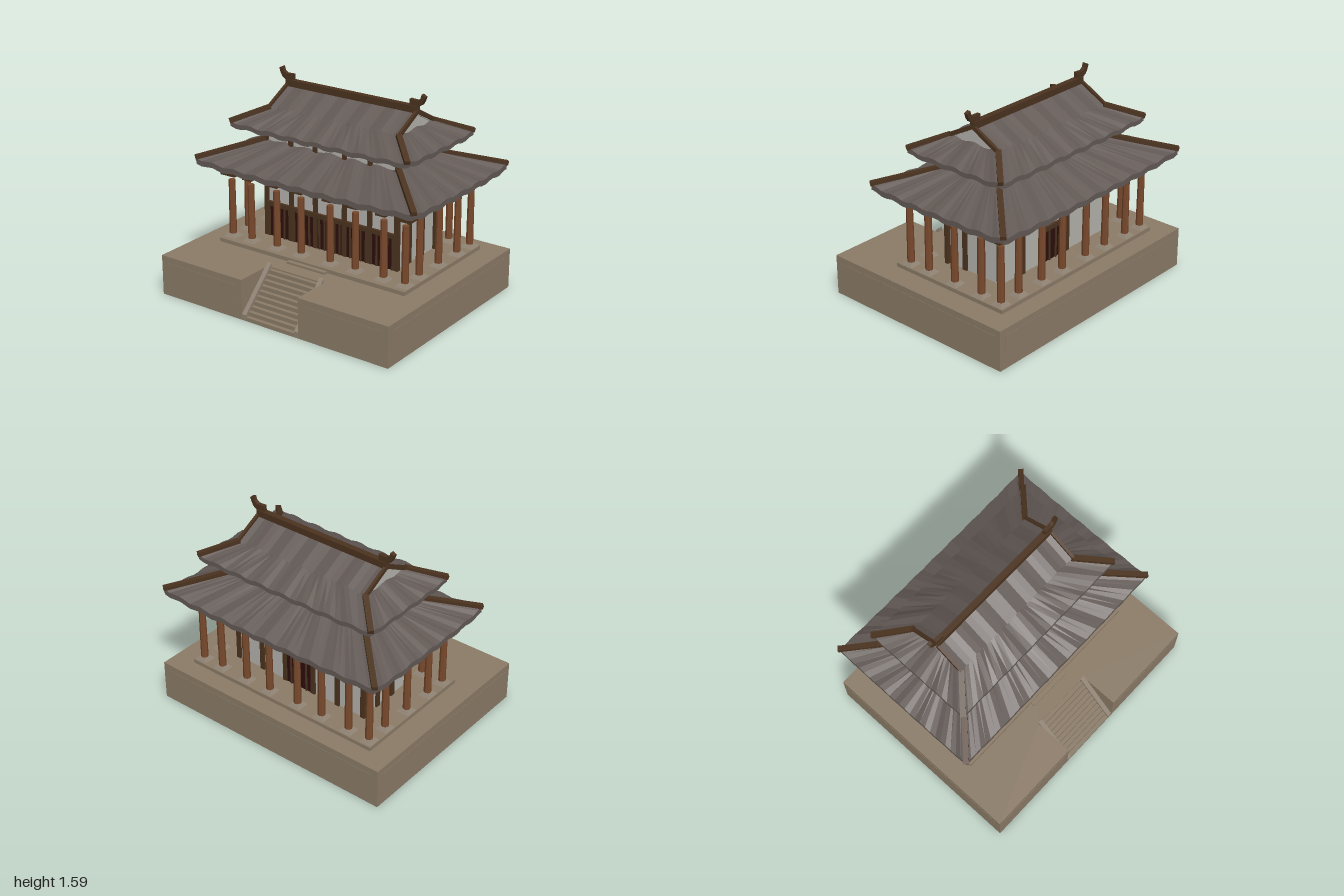
import * as THREE from 'three';

const material = (name, color, side = THREE.FrontSide) => {
  const m = new THREE.MeshStandardMaterial({ color, side, flatShading: true });
  m.name = name;
  return m;
};

export function createModel() {
  const stone = material('stone', 0x8c7c68);
  const paleStone = material('pale stone', 0x8e8272);
  const plaster = material('plaster', 0xb6b4ae, THREE.DoubleSide);
  const darkWood = material('dark wood', 0x4b331f);
  const columnWood = material('column wood', 0x79492c);
  const doorRed = material('door red', 0x2c0e0c);
  const tile = material('roof tile', 0x635a56, THREE.DoubleSide);

  const model = new THREE.Group();
  model.name = 'hall';
  const hall = new THREE.Group(); // everything above the terrace, centred on the ridge
  hall.name = 'building';
  hall.position.z = -0.17;
  model.add(hall);

  const add = (parent, name, geometry, mat, x = 0, y = 0, z = 0) => {
    const mesh = new THREE.Mesh(geometry, mat);
    mesh.name = name;
    mesh.position.set(x, y, z);
    parent.add(mesh);
    return mesh;
  };
  // box given by its centre in x and z and its bottom and top
  const box = (parent, name, mat, w, y0, y1, d, x = 0, z = 0) =>
    add(parent, name, new THREE.BoxGeometry(w, y1 - y0, d), mat, x, (y0 + y1) / 2, z);
  // square timber between two points
  const beam = (name, a, b, w, h, mat = darkWood) => {
    const p = new THREE.Vector3(...a), q = new THREE.Vector3(...b);
    const mesh = new THREE.Mesh(new THREE.BoxGeometry(w, h, p.distanceTo(q)), mat);
    mesh.name = name;
    mesh.position.copy(p).lerp(q, 0.5);
    mesh.lookAt(q);
    hall.add(mesh);
  };

  // Terrace with a notch for the stairs
  const plan = new THREE.Shape([[-1, -0.8], [-0.25, -0.8], [-0.25, -0.5], [0.25, -0.5],
    [0.25, -0.8], [1, -0.8], [1, 0.8], [-1, 0.8]].map(p => new THREE.Vector2(...p)));
  const terrace = new THREE.ExtrudeGeometry(plan, { depth: 0.31, bevelEnabled: false });
  add(model, 'terrace', terrace.rotateX(-Math.PI / 2), stone);
  for (const s of [-1, 1]) {
    box(model, 'frontTerracePanel', stone, 0.66, 0.07, 0.26, 0.004, s * 0.62, 0.8);
    box(model, 'sideTerracePanel', stone, 0.004, 0.07, 0.26, 1.5, s);
  }
  box(model, 'backTerracePanel', stone, 1.9, 0.07, 0.26, 0.004, 0, -0.8);

  // Stairs and sloping side walls
  for (let i = 0; i < 10; i++)
    box(model, 'step', stone, 0.43, 0, 0.03 * (i + 1), 0.3 - 0.03 * i, 0, 0.65 - 0.015 * i);
  const wedge = new THREE.Shape([[-0.8, 0], [-0.5, 0], [-0.5, 0.345], [-0.8, 0.045]]
    .map(p => new THREE.Vector2(...p)));
  const wedgeGeometry = new THREE.ExtrudeGeometry(wedge, { depth: 0.036, bevelEnabled: false });
  wedgeGeometry.translate(0, 0, -0.018).rotateY(Math.PI / 2);
  for (const s of [-1, 1]) add(model, 'stairWall', wedgeGeometry, paleStone, s * 0.232, 0, 0);

  // Floor slab and doorstep
  box(model, 'floorSlab', stone, 1.65, 0.31, 0.34, 1.01, 0, -0.155);
  box(model, 'doorstep', stone, 0.34, 0.31, 0.325, 0.05, 0, 0.36);

  // Veranda columns, pads and brackets
  const columnXs = [-0.77, -0.59, -0.35, -0.13, 0.13, 0.35, 0.59, 0.77];
  const spots = [];
  for (const s of [-1, 1]) {
    for (const x of columnXs) spots.push([x, s * 0.43, Math.abs(x) > 0.7]);
    for (const z of [-0.25, 0, 0.25]) spots.push([s * 0.77, z, false]);
  }
  const shaft = new THREE.CylinderGeometry(0.025, 0.028, 0.43, 8);
  const pad = new THREE.CylinderGeometry(0.043, 0.071, 0.025, 4).rotateY(Math.PI / 4);
  for (const [x, z, corner] of spots) {
    add(hall, 'column', shaft, columnWood, x, 0.575, z);
    add(hall, 'columnPad', pad, paleStone, x, 0.352, z);
    const alongSide = Math.abs(z) < 0.4;
    const w = corner ? 0.13 : alongSide ? 0.12 : 0.08, d = corner || !alongSide ? 0.1 : 0.06;
    box(hall, 'bracket', darkWood, w, 0.83, 0.89, d, x, z);
    const armW = corner ? 0.19 : alongSide ? 0.18 : 0.14, armD = corner || !alongSide ? 0.21 : 0.12;
    box(hall, 'bracketArm', darkWood, armW, 0.885, 0.92, armD, x, z);
  }

  // Plaster rails and eave beams around the veranda
  for (const s of [-1, 1]) {
    box(hall, 'eaveRail', plaster, 1.6, 0.835, 0.89, 0.03, 0, s * 0.43);
    box(hall, 'eaveRail', plaster, 0.03, 0.835, 0.89, 0.86, s * 0.77, 0);
    box(hall, 'eaveBeam', darkWood, 1.64, 0.89, 0.965, 0.08, 0, s * 0.43);
    box(hall, 'eaveBeam', darkWood, 0.08, 0.89, 0.965, 0.9, s * 0.77, 0);
  }

  // Walls with timber posts
  box(hall, 'walls', plaster, 1.14, 0.34, 1.28, 0.5);
  for (const s of [-1, 1]) {
    for (const x of [-0.58, -0.35, -0.13, 0.13, 0.35, 0.58])
      box(hall, 'wallPost', darkWood, 0.036, 0.34, 1.18, 0.03, x, s * 0.25);
    for (const z of [-0.084, 0.084])
      box(hall, 'wallPost', darkWood, 0.03, 0.34, 1.18, 0.038, s * 0.57, z);
    box(hall, 'upperBeam', darkWood, 1.19, 1.163, 1.182, 0.04, 0, s * 0.25);
    box(hall, 'upperBeam', darkWood, 0.04, 1.163, 1.182, 0.52, s * 0.575, 0);
  }

  // Front screen doors, lintel and back door
  box(hall, 'frontDoors', doorRed, 1.12, 0.34, 0.585, 0.008, 0, 0.254);
  for (let i = 0; i <= 24; i++)
    box(hall, 'doorBar', darkWood, 0.012, 0.34, 0.585, 0.014, -0.552 + i * 0.046, 0.26);
  box(hall, 'lintel', darkWood, 1.14, 0.583, 0.617, 0.03, 0, 0.258);
  box(hall, 'backDoor', doorRed, 0.23, 0.34, 0.585, 0.008, 0, -0.254);
  for (const x of [-0.07, 0, 0.07])
    box(hall, 'doorBar', darkWood, 0.012, 0.34, 0.585, 0.014, x, -0.26);
  box(hall, 'backLintel', darkWood, 0.26, 0.583, 0.617, 0.03, 0, -0.255);

  // One rippled roof slope: inner edge (half length a) down to outer edge (half length b)
  const slope = (name, a, inZ, inY, b, outZ, outY, turn, lift, thick) => {
    const n = Math.round(b * 2 / 0.05), pos = [];
    const at = (i, v, drop) => {
      const u = (i / n) * 2 - 1, x = u * (a + (b - a) * v);
      const ripple = 0.008 * Math.cos((x * Math.PI * 2) / 0.2);
      const rise = lift * v * u * u * u * u;
      return [x, inY + (outY - inY) * v + ripple + rise - drop, inZ + (outZ - inZ) * v];
    };
    const quad = (p, q, r, s) => pos.push(...p, ...q, ...r, ...p, ...r, ...s);
    for (let i = 0; i < n; i++) {
      quad(at(i, 0, 0), at(i, 1, 0), at(i + 1, 1, 0), at(i + 1, 0, 0));
      quad(at(i, 1, 0), at(i, 1, thick), at(i + 1, 1, thick), at(i + 1, 1, 0));
      quad(at(i, 0, thick), at(i + 1, 0, thick), at(i + 1, 1, thick), at(i, 1, thick));
    }
    const g = new THREE.BufferGeometry();
    g.setAttribute('position', new THREE.Float32BufferAttribute(pos, 3));
    g.computeVertexNormals();
    add(hall, name, g.rotateY(turn), tile);
  };
  // Four hipped slopes with hip ridges
  const hipRoof = (name, ix, iz, iy, ox, oz, oy, lift, thick) => {
    for (const k of [0, 1]) {
      slope(name, ix, iz, iy, ox, oz, oy, k * Math.PI, lift, thick);
      slope(name, iz, ix, iy, oz, ox, oy, Math.PI / 2 + k * Math.PI, lift, thick);
    }
    for (const s of [-1, 1]) for (const t of [-1, 1])
      beam('hipRidge', [s * ix, iy + 0.005, t * iz],
        [s * (ox + 0.005), oy + lift + 0.008, t * (oz + 0.005)], 0.04, 0.03);
  };
  hipRoof('lowerRoof', 0.57, 0.235, 1.1, 0.95, 0.615, 0.948, 0.022, 0.042);
  hipRoof('upperRoof', 0.56, 0.22, 1.335, 0.77, 0.43, 1.225, 0.01, 0.035);

  // Upper gabled part: slopes, gable walls and verge ridges
  for (const k of [0, 1])
    slope('gableSlope', 0.56, 0, 1.45, 0.56, 0.22, 1.335, k * Math.PI, 0, 0.02);
  const gable = new THREE.Shape([[-0.22, 1.3], [0.22, 1.3], [0.22, 1.325], [0, 1.445], [-0.22, 1.325]]
    .map(p => new THREE.Vector2(...p)));
  const gableGeometry = new THREE.ShapeGeometry(gable).rotateY(Math.PI / 2);
  for (const s of [-1, 1]) {
    add(hall, 'gableWall', gableGeometry, plaster, s * 0.555);
    for (const t of [-1, 1])
      beam('vergeRidge', [s * 0.567, 1.458, 0], [s * 0.567, 1.337, t * 0.226], 0.022, 0.03);
  }

  // Main ridge with curled end horns
  box(hall, 'mainRidge', darkWood, 1.15, 1.445, 1.495, 0.045);
  const horn = new THREE.Shape([[0.51, 1.485], [0.57, 1.485], [0.61, 1.51], [0.627, 1.54], [0.638, 1.572],
    [0.608, 1.587], [0.598, 1.555], [0.575, 1.537], [0.51, 1.54]].map(p => new THREE.Vector2(...p)));
  const hornGeometry = new THREE.ExtrudeGeometry(horn, { depth: 0.03, bevelEnabled: false });
  hornGeometry.translate(0, 0, -0.015);
  for (const turn of [0, Math.PI])
    add(hall, 'ridgeHorn', hornGeometry, darkWood).rotation.y = turn;

  return model;
}
